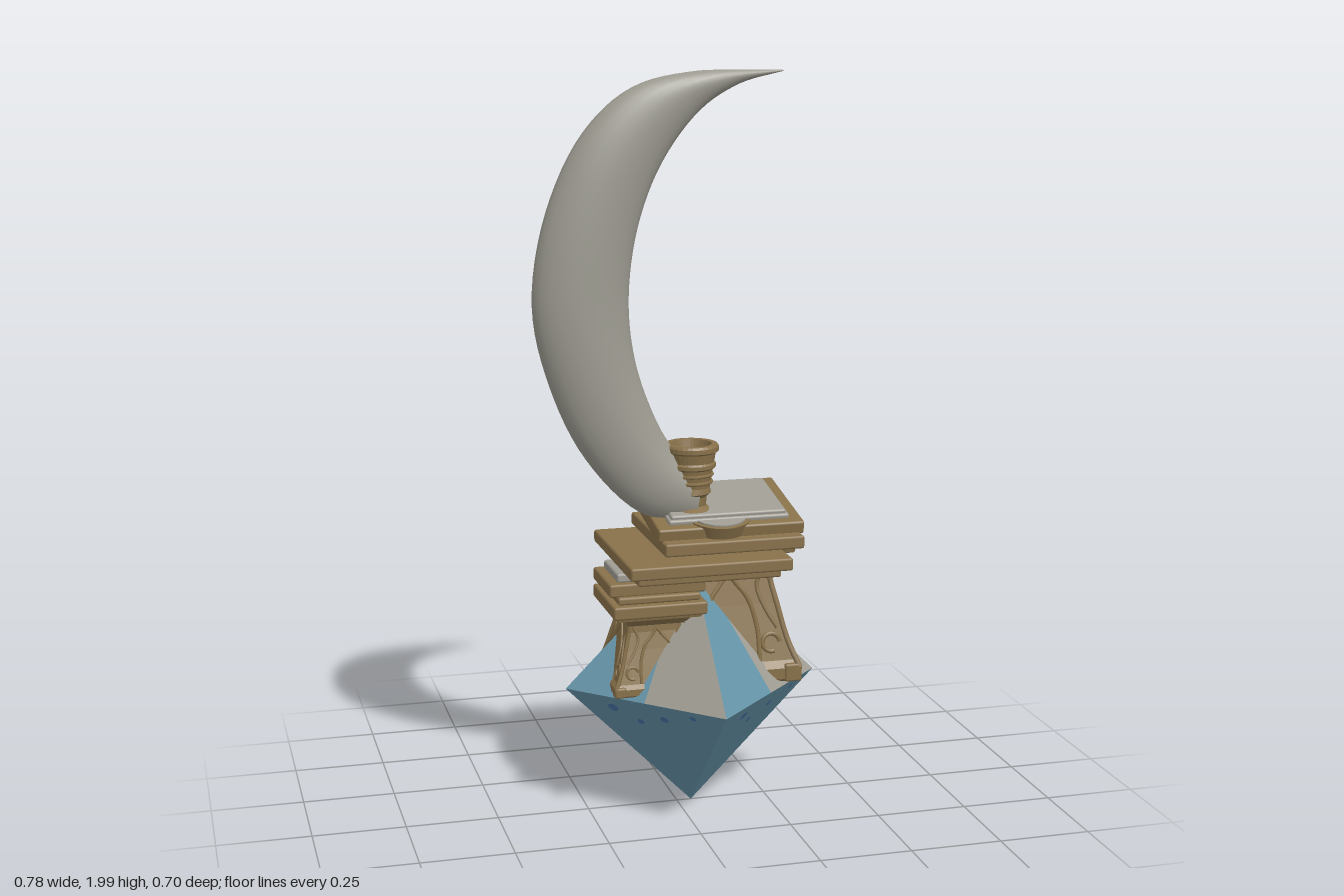
import * as THREE from 'three';
import { RoundedBoxGeometry } from 'three/addons/geometries/RoundedBoxGeometry.js';

const mat = (name, color, side = THREE.FrontSide) => {
  const m = new THREE.MeshStandardMaterial({ color, side });
  m.name = name;
  return m;
};

export function createModel() {
  const bronze = mat('bronze', 0x88714a);
  const stone = mat('paleStone', 0x9f9c93);
  const horn = mat('hornGrey', 0x9c9a90, THREE.DoubleSide);
  const teal = mat('crystalTeal', 0x6594a8);
  const blue = mat('crystalBlue', 0x4a75a8, THREE.DoubleSide);
  const root = new THREE.Group();
  root.name = 'hornShrine';

  const add = (parent, name, geo, m, x = 0, y = 0, z = 0) => {
    const mesh = new THREE.Mesh(geo, m);
    mesh.name = name;
    mesh.position.set(x, y, z);
    parent.add(mesh);
    return mesh;
  };
  const slab = (parent, name, m, w, h, d, x, y, z) =>
    add(parent, name, new RoundedBoxGeometry(w, h, d, 1, 0.006), m, x, y, z);

  // Crystal: an octahedron whose upper faces are each half blue, half pale
  const crystal = new THREE.Group();
  crystal.name = 'crystal';
  crystal.position.set(0.04, 0.36, 0);
  root.add(crystal);
  const R = 0.35;
  const top = new THREE.Vector3(0, R, 0), bottom = new THREE.Vector3(0, -R, 0);
  const corner = k => new THREE.Vector3(Math.round(Math.sin(k * Math.PI / 2)), 0, Math.round(Math.cos(k * Math.PI / 2))).multiplyScalar(R);
  const tealTris = [], paleTris = [];
  for (let k = 0; k < 4; k++) {
    const a = corner(k), b = corner(k + 1), m = a.clone().lerp(b, 0.5);
    tealTris.push(a, m, top, b, a, bottom);
    paleTris.push(m, b, top);
    // small blue flecks on the lower face
    const n = new THREE.Vector3().crossVectors(a.clone().sub(b), bottom.clone().sub(b)).normalize();
    for (const [u, v, r] of [[0.25, 0.1, 0.016], [0.4, 0.2, 0.011], [0.6, 0.13, 0.013], [0.8, 0.06, 0.01]]) {
      const p = a.clone().lerp(b, u).lerp(bottom, v).addScaledVector(n, 0.002);
      const fleck = add(crystal, 'crystalFleck', new THREE.CircleGeometry(r, 7), blue, p.x, p.y, p.z);
      fleck.quaternion.setFromUnitVectors(new THREE.Vector3(0, 0, 1), n);
    }
  }
  const faces = pts => {
    const g = new THREE.BufferGeometry().setFromPoints(pts);
    g.computeVertexNormals();
    return g;
  };
  add(crystal, 'crystalTealFaces', faces(tealTris), teal);
  add(crystal, 'crystalPaleFaces', faces(paleTris), stone);

  // Pedestals: square concave bodies with ribs and scrolls
  const profile = [[0.96, 0], [1, 0.02], [1, 0.1], [0.92, 0.15], [0.82, 0.35], [0.72, 0.55], [0.63, 0.75], [0.62, 0.83], [0.74, 0.91], [0.92, 0.94], [0.95, 1]];
  const widthAt = t => {
    let i = 1;
    while (i < profile.length - 1 && profile[i][1] < t) i++;
    const [w0, t0] = profile[i - 1], [w1, t1] = profile[i];
    return w0 + (w1 - w0) * (t - t0) / (t1 - t0);
  };
  const pedestal = (name, x, z, half, y0, height) => {
    const g = new THREE.Group();
    g.name = name;
    g.position.set(x, y0, z);
    root.add(g);
    const pts = [[0, 0], ...profile, [0, 1]].map(([w, t]) => new THREE.Vector2(w * half * Math.SQRT2, t * height));
    const body = new THREE.LatheGeometry(pts, 4, Math.PI / 4).toNonIndexed();
    body.computeVertexNormals();
    add(g, 'pedestalBody', body, bronze);
    for (let k = 0; k < 4; k++) {
      const side = new THREE.Group();
      side.name = 'pedestalSide';
      side.rotation.y = k * Math.PI / 2;
      g.add(side);
      const onFace = (u, t) => new THREE.Vector3(u * half * widthAt(t), t * height, half * widthAt(t));
      const rib = (label, list, r) => add(side, label,
        new THREE.TubeGeometry(new THREE.CatmullRomCurve3(list.map(p => onFace(...p))), 20, r * half, 6), bronze);
      rib('cornerRib', [[1, 0.1], [1, 0.3], [1, 0.55], [1, 0.75], [1, 0.84]], 0.045);
      for (const s of [-1, 1]) {
        rib('archRib', [[0.45 * s, 0.15], [0.5 * s, 0.4], [0.4 * s, 0.6], [0.15 * s, 0.72], [0, 0.8]], 0.035);
        rib('sideRib', [[0.85 * s, 0.82], [0.65 * s, 0.68], [0.75 * s, 0.5], [0.88 * s, 0.38]], 0.035);
        const p = onFace(0.7 * s, 0.28);
        const scroll = add(side, 'scroll', new THREE.TorusGeometry(half * 0.13, half * 0.035, 6, 16, 5), bronze, p.x, p.y, p.z);
        scroll.rotation.x = -0.24;
      }
      slab(side, 'foot', bronze, half * 0.26, height * 0.13, half * 0.26, half * 0.9, height * 0.065, half * 0.9);
    }
  };
  pedestal('mainPedestal', 0.127, -0.06, 0.185, 0.37, 0.38);
  pedestal('sidePedestal', -0.083, 0.028, 0.122, 0.37, 0.22);

  // Table top and the slabs stacked above it
  slab(root, 'tableTop', bronze, 0.44, 0.034, 0.44, 0.04, 0.724, 0);
  slab(root, 'tableMoulding', bronze, 0.39, 0.025, 0.39, 0.04, 0.697, 0);
  slab(root, 'upperSlab', bronze, 0.385, 0.035, 0.385, 0.128, 0.758, -0.0625);

  // Side pedestal cap with its own pale plate
  slab(root, 'sideCap', bronze, 0.255, 0.035, 0.255, -0.083, 0.603, 0.028);
  slab(root, 'sideCapMoulding', bronze, 0.225, 0.02, 0.225, -0.083, 0.632, 0.028);
  slab(root, 'sideUpperSlab', bronze, 0.262, 0.035, 0.2, -0.084, 0.657, 0.025);
  slab(root, 'sidePlate', stone, 0.22, 0.024, 0.16, -0.08, 0.686, 0.025);

  // Tilted lectern with pale plate
  const lectern = new THREE.Group();
  lectern.name = 'lectern';
  lectern.position.set(0.127, 0.805, -0.05);
  lectern.rotation.x = 0.19;
  root.add(lectern);
  slab(lectern, 'lecternBase', bronze, 0.385, 0.03, 0.32, 0, -0.015, 0);
  slab(lectern, 'lecternTop', bronze, 0.405, 0.036, 0.305, 0, 0.013, -0.005);
  slab(lectern, 'lecternPlateBase', stone, 0.335, 0.016, 0.238, 0, 0.035, 0);
  slab(lectern, 'lecternPlate', stone, 0.32, 0.016, 0.222, 0, 0.045, 0);
  add(lectern, 'dishRim', new THREE.CylinderGeometry(0.088, 0.08, 0.035, 32), bronze, -0.022, 0.018, 0.083);
  add(lectern, 'dish', new THREE.CylinderGeometry(0.076, 0.076, 0.036, 32), stone, -0.022, 0.022, 0.083);

  // Candle cup with a hollow mouth and raised rings
  const cup = [[0, 0.82], [0.062, 0.82], [0.058, 0.84], [0.04, 0.85], [0.042, 0.875], [0.053, 0.885], [0.05, 0.9], [0.058, 0.95], [0.066, 0.955], [0.066, 0.965],
    [0.062, 0.97], [0.066, 0.995], [0.074, 1], [0.074, 1.012], [0.07, 1.018], [0.055, 1.018], [0.048, 0.985], [0, 0.985]];
  const cupGeo = new THREE.LatheGeometry(cup.map(p => new THREE.Vector2(...p)), 32).toNonIndexed();
  cupGeo.computeVertexNormals();
  add(root, 'candleCup', cupGeo, bronze, 0.04, 0, 0);
  for (const [r, y] of [[0.054, 0.915], [0.056, 0.935]]) {
    add(root, 'cupRing', new THREE.TorusGeometry(r, 0.005, 6, 32), bronze, 0.04, y, 0).rotation.x = Math.PI / 2;
  }

  // Crescent horn: oval rings spanning an outer and an inner curve
  const rows = [ // outer x, y, inner x, y, half thickness
    [0.04, 0.8, 0.06, 0.94, 0.048], [-0.1, 0.835, -0.02, 1.02, 0.06], [-0.25, 0.99, -0.08, 1.14, 0.066],
    [-0.345, 1.19, -0.118, 1.27, 0.07], [-0.388, 1.4, -0.13, 1.42, 0.07], [-0.35, 1.64, -0.105, 1.6, 0.067],
    [-0.25, 1.845, -0.04, 1.765, 0.06], [-0.12, 1.958, 0.065, 1.9, 0.048], [0.06, 1.999, 0.17, 1.965, 0.032],
    [0.285, 1.999, 0.288, 1.996, 0.002]];
  const outer = new THREE.CatmullRomCurve3(rows.map(r => new THREE.Vector3(r[0], r[1], r[4])));
  const inner = new THREE.CatmullRomCurve3(rows.map(r => new THREE.Vector3(r[2], r[3], 0)));
  const N = 54, S = 24, pos = [], idx = [];
  for (let i = 0; i <= N; i++) {
    const o = outer.getPoint(i / N), n = inner.getPoint(i / N);
    for (let j = 0; j < S; j++) {
      const a = j / S * Math.PI * 2, c = (1 + Math.cos(a)) / 2;
      pos.push(n.x + (o.x - n.x) * c, Math.min(2, n.y + (o.y - n.y) * c), o.z * Math.sin(a));
      if (i < N) {
        const p = i * S + j, q = i * S + (j + 1) % S;
        idx.push(p, q, p + S, q, q + S, p + S);
      }
    }
  }
  const hornGeo = new THREE.BufferGeometry();
  hornGeo.setAttribute('position', new THREE.Float32BufferAttribute(pos, 3));
  hornGeo.setIndex(idx);
  hornGeo.computeVertexNormals();
  add(root, 'horn', hornGeo, horn);
  return root;
}
